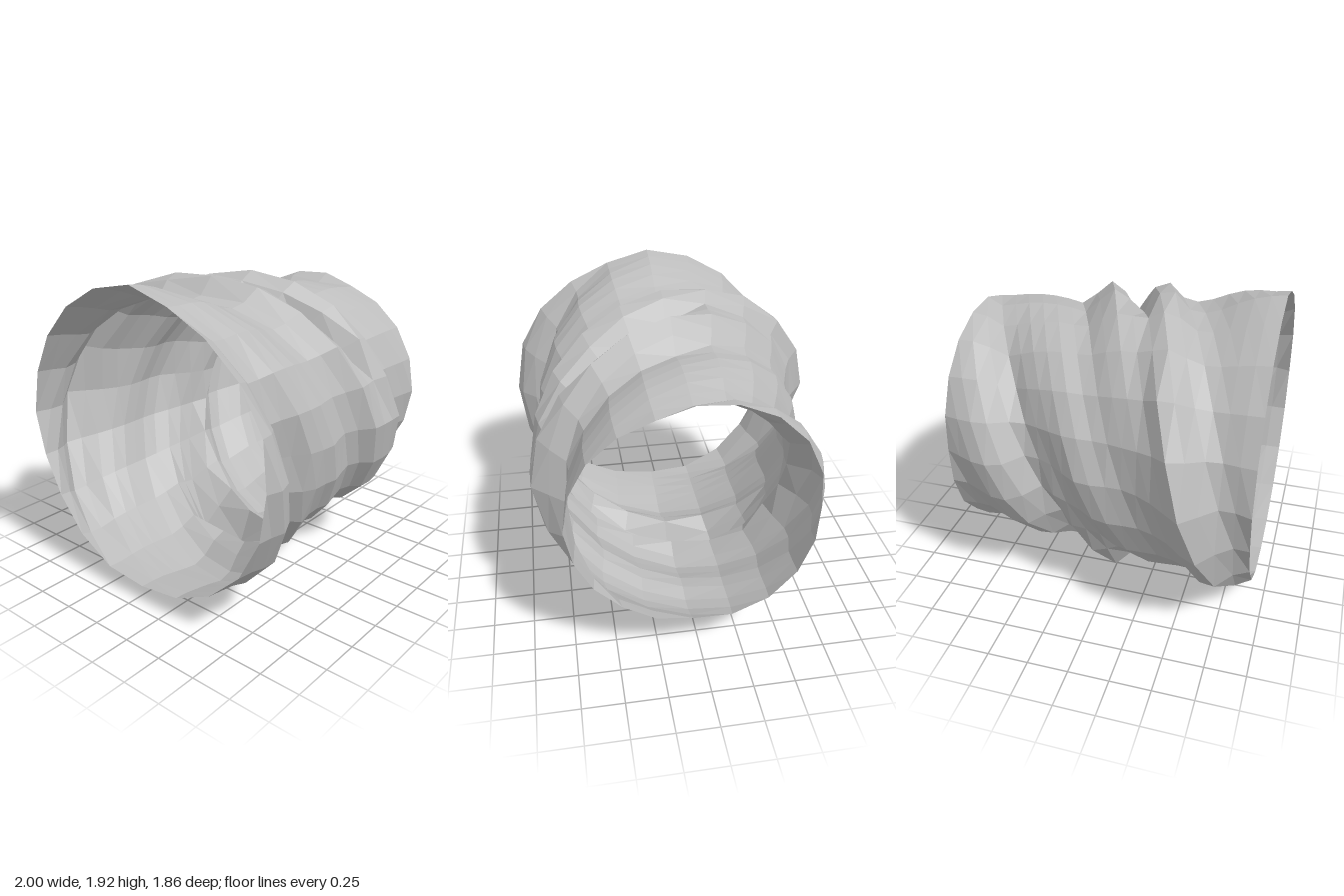
import * as THREE from 'three';

const RINGS = 20, SIDES = 20, HALF = 0.93;
const CENTRE_X = 0.05;
const SLANT = [0.35, 0.41, 0.41, 0.39]; // travel of a fold along z in each quarter turn
const FOLD_WIDTH = 0.13;

// Radius from front to back along each side, in winding order
const profiles = [
  // left
  [.9, .87, .87, .96, 1.05, .98, .91, .86, .83, .83, .84, .83, .77, .7, .66, .65, .78, .815, .8, .76, .72],
  // top
  [.92, .905, .88, .84, .79, .76, .77, .87, .86, .79, .84, .85, .77, .68, .7, .71, .71, .7, .68, .66, .71],
  // right
  [.92, .95, .92, .83, .69, .73, .8, .82, .83, .8, .78, .81, .88, .885, .885, .88, .78, .68, .695, .705, .72],
  // bottom
  [.895, .9, .91, .93, .95, .965, .94, .87, .84, 1, 1, .8, .86, .88, .85, .81, .8, .83, .82, .78, .72],
];

// Local ridges and creases lying along the folds
const folds = [
  { turn: 0.34, z: -0.08, height: -0.24, reach: 0.14 }, // deep crease, upper right
  { turn: 0.12, z: -0.6, height: -0.07, reach: 0.12 },  // crease, upper left
  { turn: 0.9, z: -0.29, height: -0.05, reach: 0.1 },   // crease, lower left
  { turn: 0.81, z: 0.03, height: 0.19, reach: 0.06 },   // wedge underneath
  { turn: 0.1, z: 0.4, height: 0.04, reach: 0.1 },      // ridge, upper left
  { turn: 0.9, z: 0.7, height: 0.05, reach: 0.1 },      // ridge, lower left
  { turn: 0.64, z: 0.63, height: 0.02, reach: 0.1 },    // ridge, lower right
];

const tent = (d, width) => Math.max(0, 1 - Math.abs(d) / width);

function sample(profile, z) {
  const f = THREE.MathUtils.clamp((HALF - z) / (2 * HALF), 0, 1) * RINGS;
  const i = Math.min(Math.floor(f), RINGS - 1);
  return THREE.MathUtils.lerp(profile[i], profile[i + 1], f - i);
}

// Blend neighbouring profiles along the slanted folds, then add the local folds
function radius(turn, z) {
  const q = Math.floor(turn * 4), t = turn * 4 - q;
  const from = sample(profiles[q], z + SLANT[q] * t);
  const to = sample(profiles[(q + 1) % 4], z - SLANT[q] * (1 - t));
  let r = THREE.MathUtils.lerp(from, to, t);
  for (const fold of folds) {
    const along = turn - fold.turn;
    const across = z - fold.z + along * 4 * SLANT[q];
    r += fold.height * tent(along, fold.reach) * tent(across, FOLD_WIDTH);
  }
  return r;
}

export function createModel() {
  const group = new THREE.Group();
  group.name = 'twistedTube';
  const grey = new THREE.MeshStandardMaterial({ color: 0xbcbcbc, flatShading: true, side: THREE.DoubleSide });
  grey.name = 'grey';

  // Open tube wall made of rings, each quad split along the folds
  const positions = [], index = [];
  for (let j = 0; j <= RINGS; j++) {
    const z = HALF - (2 * HALF * j) / RINGS;
    for (let i = 0; i < SIDES; i++) {
      const a = (i / SIDES) * Math.PI * 2, r = radius(i / SIDES, z);
      positions.push(CENTRE_X - Math.cos(a) * r, 1 + Math.sin(a) * r, z);
      if (j === RINGS) continue;
      const p = j * SIDES + i, q = j * SIDES + ((i + 1) % SIDES);
      index.push(p, q, q + SIDES, p, q + SIDES, p + SIDES);
    }
  }
  const geometry = new THREE.BufferGeometry();
  geometry.setAttribute('position', new THREE.Float32BufferAttribute(positions, 3));
  geometry.setIndex(index);
  geometry.computeVertexNormals();

  const wall = new THREE.Mesh(geometry, grey);
  wall.name = 'foldedWall';
  group.add(wall);
  return group;
}
